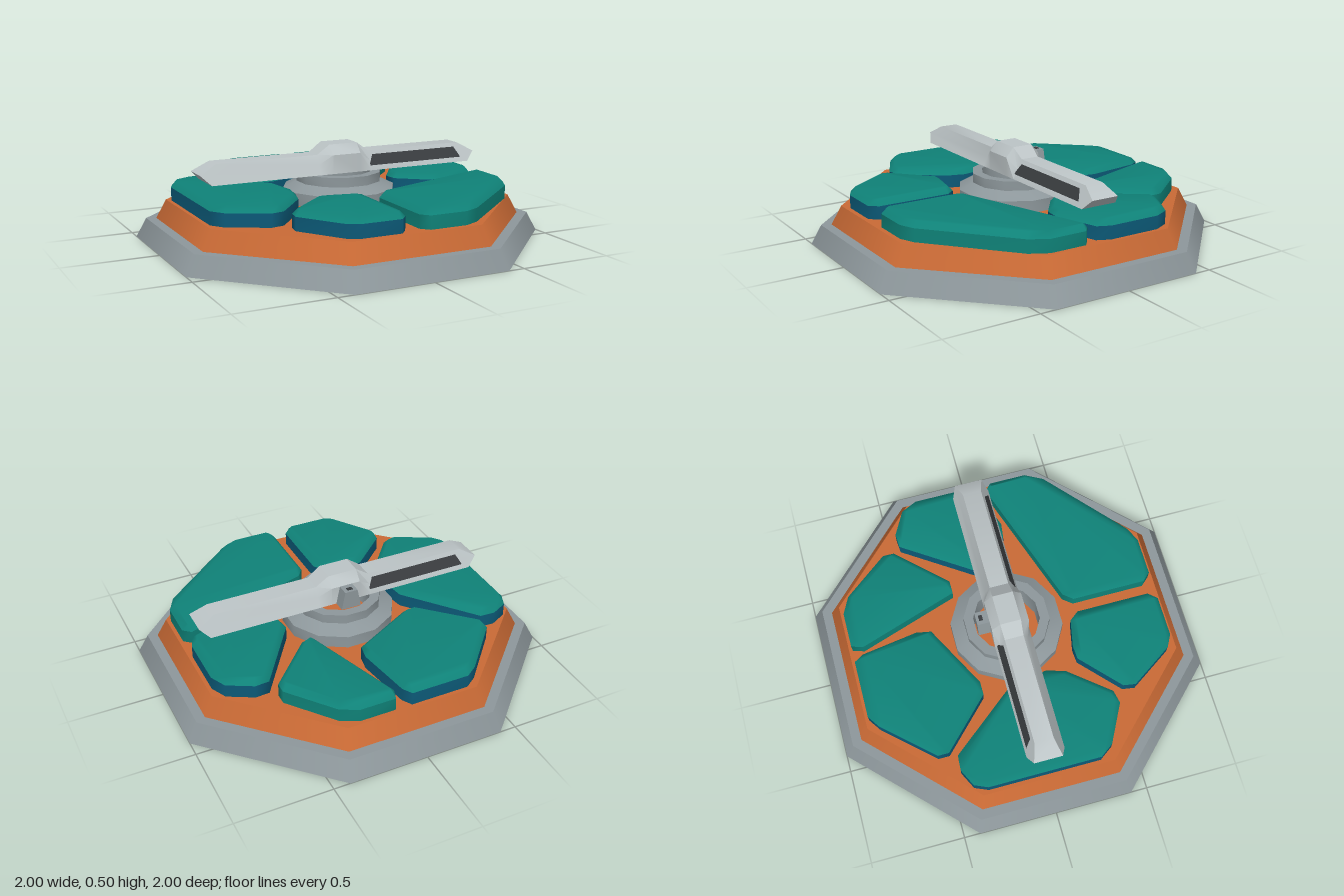
import * as THREE from 'three';
import { toCreasedNormals } from 'three/addons/utils/BufferGeometryUtils.js';

const paint = (name, color, extra = {}) => Object.assign(new THREE.MeshStandardMaterial({ color, ...extra }), { name });

// Skin between closed rings of [x, y, z] points (clockwise seen from the last ring's side), with optional end caps.
function loft(rings, capStart, capEnd) {
  const n = rings[0].length, index = [];
  for (let k = 0; k < rings.length - 1; k++) {
    for (let i = 0; i < n; i++) {
      const a = k * n + i, b = k * n + (i + 1) % n;
      index.push(b, a, a + n, b, a + n, b + n);
    }
  }
  const last = (rings.length - 1) * n;
  for (let j = 1; j < n - 1; j++) {
    const p = (2 + j) % n, q = (3 + j) % n;
    if (capEnd) index.push(last + 2, last + q, last + p);
    if (capStart) index.push(2, p, q);
  }
  const g = new THREE.BufferGeometry();
  g.setAttribute('position', new THREE.Float32BufferAttribute(rings.flat(2), 3));
  g.setIndex(index);
  g.computeVertexNormals();
  return g;
}

// Move an outline of [x, z] points inwards.
function inset(pts, d) {
  const n = pts.length;
  return pts.map(([x, z], i) => {
    const a = pts[(i + n - 1) % n], b = pts[(i + 1) % n];
    const dx = b[0] - a[0], dz = b[1] - a[1], l = Math.hypot(dx, dz);
    return [x - dz / l * d, z + dx / l * d];
  });
}

export function createModel() {
  const model = new THREE.Group();
  const grey = paint('base grey', 0x8d979b);
  const orange = paint('deck orange', 0xc96a35);
  const teal = paint('panel teal', 0x0f8278);
  const blue = paint('panel side blue', 0x0c5a78);
  const light = paint('blade light grey', 0xbcc4c6);
  const dark = paint('slot dark grey', 0x3a3d40, { side: THREE.DoubleSide });

  const add = (name, geometry, material, parent = model) => {
    const mesh = new THREE.Mesh(geometry, material);
    mesh.name = name;
    parent.add(mesh);
    return mesh;
  };

  // Two stacked octagonal tiers
  const tier = (name, bottom, top, y, material) => {
    const c = Math.cos(Math.PI / 8);
    add(name, new THREE.CylinderGeometry(top / c, bottom / c, 0.1, 8, 1, false, Math.PI / 8), material)
      .position.y = y + 0.05;
  };
  tier('basePlinth', 1, 0.95, 0, grey);
  tier('deck', 0.9, 0.85, 0.1, orange);

  // Raised panels: [side material, outline in x, z]
  const panels = [
    [blue, [[-.31, -.83], [0, -.83], [.03, -.78], [.075, -.48], [.06, -.40], [-.28, -.22], [-.35, -.22], [-.605, -.47], [-.605, -.53], [-.375, -.785]]],
    [teal, [[.09, -.83], [.28, -.83], [.37, -.785], [.555, -.55], [.555, -.49], [.315, -.235], [.245, -.235], [.07, -.77]]],
    [blue, [[.585, -.45], [.66, -.455], [.79, -.385], [.83, -.30], [.83, -.02], [.80, .05], [.57, .125], [.49, .115], [.345, 0], [.335, -.08]]],
    [teal, [[.79, .095], [.83, .13], [.83, .33], [.78, .425], [.36, .79], [.28, .825], [.08, .825], [.04, .78], [.04, .385], [.08, .335]]],
    [blue, [[-.29, .31], [-.22, .305], [-.075, .335], [-.035, .385], [-.035, .78], [-.075, .825], [-.29, .825], [-.355, .79], [-.505, .565], [-.495, .50]]],
    [blue, [[-.71, -.435], [-.63, -.43], [-.34, -.07], [-.31, .13], [-.34, .23], [-.51, .44], [-.58, .455], [-.78, .35], [-.83, .28], [-.83, -.32], [-.80, -.39]]],
  ];
  for (const [side, outline] of panels) {
    const at = (pts, y) => pts.map(([x, z]) => [x, y, z]);
    const panel = new THREE.Group();
    panel.name = 'deckPanel';
    add('panelSide', loft([at(outline, 0.2), at(outline, 0.27)]), side, panel);
    add('panelTop', loft([at(outline, 0.27), at(inset(outline, 0.03), 0.3)], false, true), teal, panel);
    model.add(panel);
  }

  // Twelve-sided hub ring, open in the middle
  const profile = [[.29, .2], [.29, .265], [.22, .3], [.22, .35], [.17, .35], [.17, .2]]
    .map(([r, y]) => new THREE.Vector2(r / Math.cos(Math.PI / 12), y));
  add('hubRing', toCreasedNormals(new THREE.LatheGeometry(profile, 12, Math.PI / 12), 0.6), grey);

  // Blade: cross-sections along x, each with a top, middle and bottom pair of corners
  const section = (xt, xm, xb, yt, ym, zt, zm) => [
    [xt, yt, zt], [xt, yt, -zt], [xm, ym, -zm], [xb, .35, -.1], [xb, .35, .1], [xm, ym, zm]];
  const half = s => [
    section(s * .71, s * .8, s * .75, .45, .4, .05, .075),
    section(s * .15, s * .15, s * .15, .45, .4, .05, .075),
    section(s * .08, s * .08, s * .08, .5, .45, .055, .1)];
  add('blade', toCreasedNormals(loft([...half(-1), ...half(1).reverse()], true, true), 0.6), light);

  // Dark slots on opposite sides of the blade, lying on its sloped faces
  const slotCorner = (x, y) => [x, y, .1 - (y - .35) * .5 + .003];
  const slot = new THREE.BufferGeometry();
  slot.setAttribute('position', new THREE.Float32BufferAttribute(
    [slotCorner(.14, .375), slotCorner(.71, .375), slotCorner(.68, .43), slotCorner(.17, .43)].flat(), 3));
  slot.setIndex([0, 1, 2, 0, 2, 3]);
  slot.computeVertexNormals();
  for (const turn of [0, Math.PI]) add('bladeSlot', slot, dark).rotation.y = turn;

  // Tapered sight block behind the blade, with a small notch mark on top
  const block = new THREE.Shape([[-.055, .35], [.055, .35], [.035, .45], [-.035, .45]].map(p => new THREE.Vector2(...p)));
  add('rearBlock', new THREE.ExtrudeGeometry(block, { depth: .115, bevelEnabled: false }), grey).position.z = -.165;
  add('rearNotch', new THREE.BoxGeometry(.03, .005, .02), dark).position.set(0, .451, -.14);

  return model;
}
